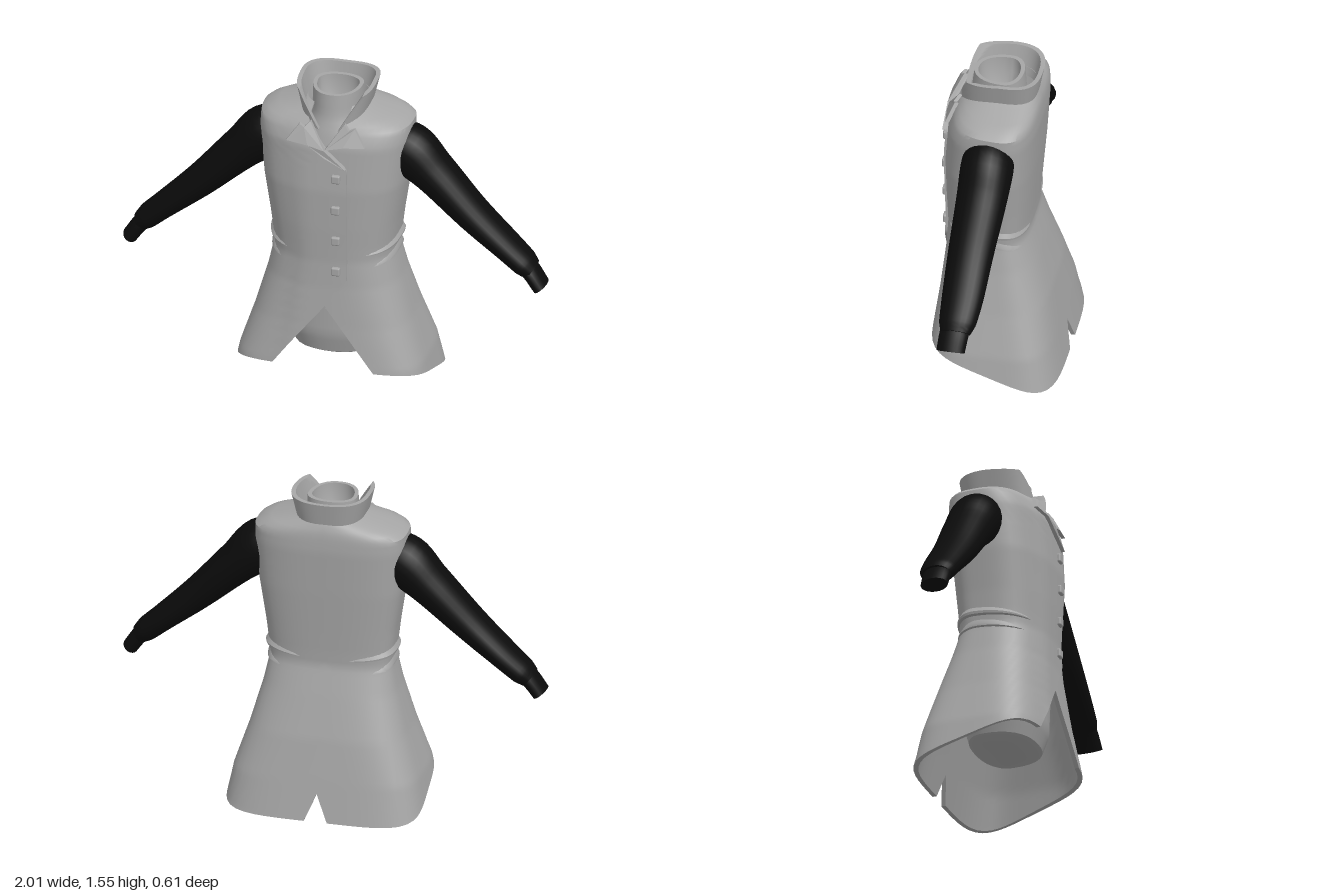
import * as THREE from 'three';
import { mergeGeometries, toCreasedNormals } from 'three/addons/utils/BufferGeometryUtils.js';
import { RoundedBoxGeometry } from 'three/addons/geometries/RoundedBoxGeometry.js';

const lerp = THREE.MathUtils.lerp;
const clamp = THREE.MathUtils.clamp;

// Surface grid: fn(u, v) returns [x, y, z] for u, v in 0..1
function grid(nu, nv, fn, flip = false) {
  const pos = [], idx = [];
  for (let j = 0; j <= nv; j++)
    for (let i = 0; i <= nu; i++) pos.push(...fn(i / nu, j / nv));
  for (let j = 0; j < nv; j++)
    for (let i = 0; i < nu; i++) {
      const a = j * (nu + 1) + i, b = a + 1, c = a + nu + 1, d = c + 1;
      if (flip) idx.push(a, c, b, b, c, d);
      else idx.push(a, b, c, b, d, c);
    }
  const g = new THREE.BufferGeometry();
  g.setAttribute('position', new THREE.Float32BufferAttribute(pos, 3));
  g.setIndex(idx);
  return g;
}

// Interpolate rows of [y, halfWidth, front, back, squareness], listed top down
function section(rows, y) {
  let k = 0;
  while (k < rows.length - 2 && y < rows[k + 1][0]) k++;
  const a = rows[k], b = rows[k + 1];
  const t = clamp((a[0] - y) / (a[0] - b[0]), 0, 1);
  return a.map((v, i) => lerp(v, b[i], t));
}

// Point on a squared oval; angle 0 = front, PI/2 = side, PI = back
function oval([, w, f, b, n], angle, inset = 0) {
  const s = Math.sin(angle), c = Math.cos(angle);
  const r = (Math.abs(s) ** n + Math.abs(c) ** n) ** (-1 / n);
  return [(w - inset) * s * r, ((c > 0 ? f : -b) - inset) * c * r];
}

// Angle at which the oval reaches a given x on its front
function angleAt([, w, , , n], x, inset = 0) {
  const q = clamp(x / (w - inset), -0.98, 0.98);
  return Math.atan2(q, (1 - Math.abs(q) ** n) ** (1 / n));
}

const COAT = [
  [1.47, 0.14, 0.13, -0.14, 2.3], [1.445, 0.2, 0.165, -0.152, 2.4],
  [1.42, 0.31, 0.195, -0.165, 2.7], [1.385, 0.355, 0.22, -0.17, 3],
  [1.32, 0.355, 0.248, -0.173, 3], [1.1, 0.335, 0.265, -0.16, 3],
  [0.9, 0.305, 0.263, -0.145, 2.9], [0.8, 0.294, 0.26, -0.138, 2.8],
  [0.73, 0.287, 0.258, -0.135, 2.8], [0.6, 0.315, 0.263, -0.175, 3],
  [0.4, 0.37, 0.28, -0.232, 3.6], [0.2, 0.435, 0.302, -0.272, 4.4],
  [0, 0.475, 0.315, -0.31, 4.5],
];
const SHIRT = [
  [1.535, 0.115, 0.15, -0.08, 2.2], [1.42, 0.115, 0.165, -0.09, 2.2],
  [1.36, 0.14, 0.19, -0.1, 2.4], [1.22, 0.22, 0.225, -0.12, 2.6],
  [0.8, 0.24, 0.22, -0.1, 2.5], [0.5, 0.25, 0.22, -0.13, 2.5],
  [0.32, 0.24, 0.215, -0.14, 2.5], [0.225, 0.2, 0.19, -0.12, 2.4],
];

// Front edge of each coat half, measured outward from the middle
function frontCut(y, side) {
  if (y < 0.5) return Math.min(0.24, (0.5 - y) * 0.774);
  if (y > 1.31) return Math.min(0.09, (y - 1.31) * 0.82);
  if (side > 0) return 0;
  return -0.1 * Math.min(1, (y - 0.5) / 0.14, (1.31 - y) / 0.09);
}
const backCut = (y) => clamp((0.15 - y) * 0.42, 0, 0.06);

// One half of the coat: outer cloth, hem, lining and both cut edges
function coatHalf(side) {
  const THICK = 0.02;
  const angle = (s, y, inset) => {
    const sec = section(COAT, y);
    return lerp(angleAt(sec, frontCut(y, side), inset), Math.PI - angleAt(sec, backCut(y), inset), s);
  };
  const point = (s, t, inset) => {
    const hemZ = oval(section(COAT, 0.1), angle(s, 0.1, 0))[1];
    const y = lerp(1.47, clamp(0.103 + 0.29 * hemZ, 0, 0.2), t);
    const a = angle(s, y, inset);
    const lift = side < 0 ? 0.012 * clamp((0.5 - a) / 0.15, 0, 1) : 0;
    const [x, z] = oval(section(COAT, y), a, inset - lift);
    return [side * x, y, z];
  };
  const shell = grid(28, 130, (s, v) =>
    v <= 0.5 ? point(s, v * 2, 0) : point(s, Math.min(1, (1 - v) * 2 + 2 / 130), THICK), side > 0);
  const edges = [0, 1].map((s) =>
    grid(1, 64, (u, v) => point(s, v, u * THICK), (side > 0) === (s === 1)));
  return toCreasedNormals(mergeGeometries([shell, ...edges]), 0.7);
}

// Tapered fold of cloth wrapped round the waist
function waistFold(side, y0, from, to, size) {
  return toCreasedNormals(grid(24, 3, (u, v) => {
    const swell = Math.sin(Math.PI * u) ** 0.6;
    const k = Math.round(v * 3);
    const y = y0 + 0.02 * swell * Math.sin(u * Math.PI) - 0.01 + [0.04, 0.012, 0, -0.008][k] * swell;
    const out = [-0.004, size, size * 0.9, -0.006][k] * swell;
    const [x, z] = oval(section(COAT, y), lerp(from, to, u), -out);
    return [side * x, y, z];
  }, side > 0), 0.6);
}

// Flat outline draped over the chest
function lapel(outline, lift) {
  const shape = new THREE.Shape(outline.map(([x, y]) => new THREE.Vector2(x, y)));
  const g = new THREE.ExtrudeGeometry(shape, { depth: 0.018, bevelEnabled: false });
  const p = g.attributes.position;
  for (let i = 0; i < p.count; i++) {
    const [, w, f, , n] = section(COAT, p.getY(i));
    p.setZ(i, p.getZ(i) + lift + f * (1 - (Math.abs(p.getX(i)) / w) ** n) ** (1 / n));
  }
  g.computeVertexNormals();
  return g;
}

// Standing collar, open at the front and flaring upward
function collar() {
  const point = (u, t, inset) => {
    const sec = [0, lerp(0.15, 0.183, t), lerp(0.205, 0.215, t), lerp(-0.145, -0.168, t), 2.8];
    const a0 = angleAt(sec, lerp(0.045, 0.15, t), inset);
    const a = lerp(a0, Math.PI * 2 - a0, u);
    const [x, z] = oval(sec, a, inset);
    const front = Math.cos(a);
    const base = 1.425 - 0.05 * Math.max(0, front) ** 2;
    const top = 1.565 - 0.02 * Math.max(0, front) - 0.012 * Math.max(0, -front) ** 2;
    return [x, lerp(base, top, t), z];
  };
  const shell = grid(40, 17, (u, v) => {
    const k = Math.round(v * 17);
    return k <= 8 ? point(u, 1 - k / 8, 0) : point(u, (k - 9) / 8, 0.02);
  }, true);
  const rim = grid(40, 1, (u, v) => point(u, 1, 0.02 * (1 - v)), true);
  const ends = [0, 1].map((u) => grid(1, 8, (w, v) => point(u, 1 - v, w * 0.02), u === 1));
  return toCreasedNormals(mergeGeometries([shell, rim, ...ends]), 0.6);
}

// Arm tube through rows of [x, y, z, halfHeight, halfDepth], capped at the end
function armTube(rows, steps, side) {
  const path = new THREE.CatmullRomCurve3(rows.map((r) => new THREE.Vector3(r[0], r[1], r[2])));
  const size = new THREE.CatmullRomCurve3(rows.map((r) => new THREE.Vector3(r[3], r[4], 0)));
  return toCreasedNormals(grid(24, steps + 1, (u, v) => {
    const k = Math.round(v * (steps + 1));
    const t = Math.min(1, k / steps);
    const c = path.getPoint(t), d = path.getTangent(t), r = size.getPoint(t);
    const m = k > steps ? 0 : 1;
    const h = Math.cos(u * Math.PI * 2) * r.x * m;
    return [side * (c.x - d.y * h), c.y + d.x * h, c.z + Math.sin(u * Math.PI * 2) * r.y * m];
  }, side < 0), 0.8);
}

export function createModel() {
  const cloth = new THREE.MeshStandardMaterial({ color: 0xa6a6a6, side: THREE.DoubleSide });
  const black = new THREE.MeshStandardMaterial({ color: 0x0b0b0b, side: THREE.DoubleSide });
  cloth.name = 'grey cloth';
  black.name = 'black knit';
  const model = new THREE.Group();
  model.name = 'coat';
  const add = (name, geometry, material = cloth) => {
    const mesh = new THREE.Mesh(geometry, material);
    mesh.name = name;
    model.add(mesh);
    return mesh;
  };

  for (const side of [1, -1]) {
    const label = side > 0 ? 'left' : 'right';
    add(label + 'CoatHalf', coatHalf(side));
    add(label + 'UpperFold', waistFold(side, 0.775, 0.62, 2.75, 0.014));
    add(label + 'LowerFold', waistFold(side, 0.715, 0.75, 2.4, 0.011));
    add(label + 'Sleeve', armTube([
      [0.26, 1.265, 0.02, 0.11, 0.11], [0.34, 1.235, 0.02, 0.125, 0.122],
      [0.45, 1.14, 0.022, 0.1, 0.118], [0.645, 0.95, 0.035, 0.077, 0.106],
      [0.81, 0.805, 0.04, 0.061, 0.096], [0.89, 0.735, 0.045, 0.056, 0.086],
      [0.925, 0.705, 0.048, 0.044, 0.07],
    ], 30, side), black);
    add(label + 'Cuff', armTube([
      [0.905, 0.72, 0.05, 0.042, 0.068], [0.935, 0.685, 0.055, 0.039, 0.068],
      [0.973, 0.63, 0.06, 0.037, 0.066],
    ], 6, side), black);
  }

  // Neckwear and lapels
  add('collar', collar());
  add('leftLapel', lapel([[0, 1.31], [0.085, 1.33], [0.185, 1.335], [0.13, 1.41], [0.105, 1.4], [0.08, 1.425]], 0.004));
  add('rightLapel', lapel([[0.1, 1.225], [0, 1.31], [-0.08, 1.425], [-0.105, 1.4], [-0.13, 1.41],
    [-0.185, 1.335], [-0.08, 1.328], [0, 1.275]], 0.012));

  // Undershirt with a hollow neck and a rounded, closed tail
  add('undershirt', toCreasedNormals(grid(32, 42, (u, v) => {
    const k = Math.round(v * 42);
    const y = k <= 40 ? lerp(1.535, 0.225, k / 40) : 0.21;
    const [x, z] = oval(section(SHIRT, y), u * Math.PI * 2);
    const m = [1, 0.85, 0][Math.max(0, k - 40)];
    return [x * m, y, 0.03 + (z - 0.03) * m];
  }, true), 0.6));
  add('neckLining', toCreasedNormals(grid(32, 4, (u, v) => {
    const k = Math.round(v * 4);
    const [x, z] = oval(SHIRT[0], u * Math.PI * 2);
    const m = [1, 0.84, 0.8, 0.6, 0][k];
    return [x * m, [1.535, 1.535, 1.46, 1.4, 1.38][k], 0.04 + (z - 0.04) * m];
  }), 0.5));

  // Square buttons down the overlapping front
  for (const y of [1.17, 1.01, 0.85, 0.69])
    add('button', new RoundedBoxGeometry(0.042, 0.042, 0.026, 2, 0.008))
      .position.set(0.055, y, section(COAT, y)[2] + 0.014);

  return model;
}
